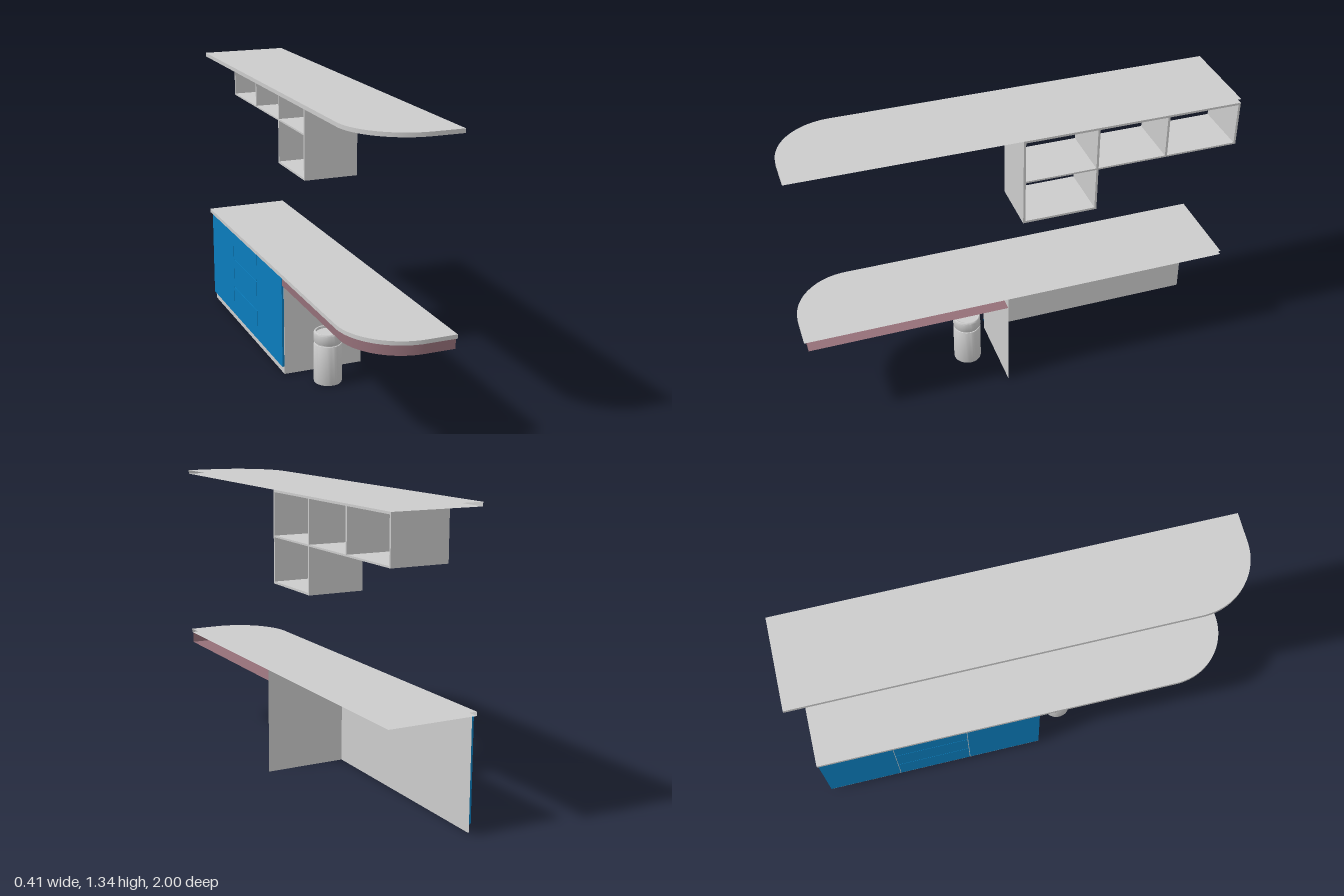
import * as THREE from 'three';
import { toCreasedNormals } from 'three/addons/utils/BufferGeometryUtils.js';

const mat = (color) => new THREE.MeshStandardMaterial({ color, side: THREE.DoubleSide });

export function createModel() {
  const root = new THREE.Group();
  const grey = mat(0xcccccc), blue = mat(0x0a7cbc), plum = mat(0x946f78);

  const add = (parent, name, geometry, material) => {
    const mesh = new THREE.Mesh(geometry, material);
    mesh.name = name;
    parent.add(mesh);
    return mesh;
  };
  // Box given by its minimum and maximum corners
  const box = (parent, name, a, b, material = grey) =>
    add(parent, name, new THREE.BoxGeometry(b[0] - a[0], b[1] - a[1], b[2] - a[2]), material)
      .position.set((a[0] + b[0]) / 2, (a[1] + b[1]) / 2, (a[2] + b[2]) / 2);

  // Exposed edge of a slab: along the left side, round the corner, across the front
  const edgePath = (left, right, back, front, r) => {
    const pts = [new THREE.Vector2(left, back)];
    for (let i = 0; i <= 24; i++) {
      const t = (i / 24) * Math.PI / 2;
      pts.push(new THREE.Vector2(left + r - r * Math.cos(t), front - r + r * Math.sin(t)));
    }
    pts.push(new THREE.Vector2(right, front));
    return pts;
  };
  // Horizontal sheet filling the path
  const sheet = (path, right, back, y, up) => {
    const outline = [...path, new THREE.Vector2(right, back)];
    const g = new THREE.ShapeGeometry(new THREE.Shape(outline));
    g.rotateX(Math.PI / 2); // shape y becomes z, facing down
    if (up) {
      g.index.array.reverse();
      g.computeVertexNormals();
    }
    return g.translate(0, y, 0);
  };
  // Upright strip following the path
  const strip = (path, y0, y1) => {
    const pos = [], idx = [];
    path.forEach((p, i) => {
      pos.push(p.x, y0, p.y, p.x, y1, p.y);
      const k = 2 * i;
      if (i < path.length - 1) idx.push(k, k + 2, k + 3, k, k + 3, k + 1);
    });
    const g = new THREE.BufferGeometry();
    g.setAttribute('position', new THREE.Float32BufferAttribute(pos, 3));
    g.setIndex(idx);
    g.computeVertexNormals();
    return g;
  };

  // Upper canopy and worktop: open along the two wall sides
  const R = 0.205;
  for (const [name, y0, y1] of [['canopy', 1.322, 1.34], ['worktop', 0.49, 0.508]]) {
    const slab = new THREE.Group();
    slab.name = name;
    const path = edgePath(-R, R, -1, 1, 0.275);
    add(slab, name + 'Top', sheet(path, R, -1, y1, true), grey);
    add(slab, name + 'Underside', sheet(path, R, -1, y0, false), grey);
    add(slab, name + 'Edge', strip(path, y0, y1), grey);
    root.add(slab);
  }

  // Coloured apron under the overhanging end
  const apron = new THREE.Group();
  apron.name = 'apron';
  const apronPath = edgePath(-0.19, R, 0.065, 0.985, 0.26);
  add(apron, 'apronUnderside', sheet(apronPath, R, 0.065, 0.44, false), plum);
  add(apron, 'apronEdge', strip(apronPath, 0.44, 0.49), plum);
  root.add(apron);

  // Base cabinet: two thin panels, open to the walls
  const cabinet = new THREE.Group();
  cabinet.name = 'baseCabinet';
  const endPanel = add(cabinet, 'endPanel', new THREE.PlaneGeometry(R + 0.182, 0.49), grey);
  endPanel.position.set((R - 0.182) / 2, 0.245, 0.065);
  const sidePanel = add(cabinet, 'sidePanel', new THREE.PlaneGeometry(1.065, 0.49), grey);
  sidePanel.rotation.y = -Math.PI / 2;
  sidePanel.position.set(-0.182, 0.245, -0.4675);

  // Two doors with a stack of three drawers between them
  const gap = 0.002, col = 1.065 / 3;
  for (let c = 0; c < 3; c++) {
    const rows = c === 1 ? 3 : 1, h = 0.455 / rows, z = -1 + c * col;
    for (let r = 0; r < rows; r++) {
      box(cabinet, c === 1 ? 'drawerFront' : 'door',
        [-0.192, 0.035 + r * h + gap, z + gap],
        [-0.1825, 0.035 + (r + 1) * h - gap, z + col - gap], blue);
    }
  }
  root.add(cabinet);

  // Hanging open shelves
  const shelves = new THREE.Group();
  shelves.name = 'hangingShelves';
  const x0 = -0.053, t = 0.01;
  const board = (name, y0, y1, z0, z1) => box(shelves, name, [x0, y0, z0], [R, y1, z1]);
  board('topBoard', 1.312, 1.322, -1, -0.003);
  board('middleBoard', 1.112, 1.12, -1, -0.003);
  board('bottomBoard', 0.904, 0.914, -0.345, -0.003);
  [[-0.003, 0.904], [-0.335, 0.904], [-0.657, 1.112], [-0.99, 1.112]]
    .forEach(([z, y]) => board('divider', y, 1.322, z - t, z));
  root.add(shelves);

  // Bin: open-bottomed body, groove and rounded lid with a sunken top
  const profile = [
    [0.064, 0], [0.065, 0.004], [0.065, 0.186], [0.063, 0.19], [0.059, 0.191], [0.059, 0.197],
    [0.063, 0.197], [0.065, 0.2], [0.065, 0.241], [0.063, 0.247], [0.059, 0.25],
    [0.054, 0.248], [0.053, 0.238], [0, 0.238],
  ].map(([x, y]) => new THREE.Vector2(x, y));
  const bin = add(root, 'bin', toCreasedNormals(new THREE.LatheGeometry(profile, 40), 0.7), grey);
  bin.position.set(-0.02, 0, 0.2);

  return root;
}
